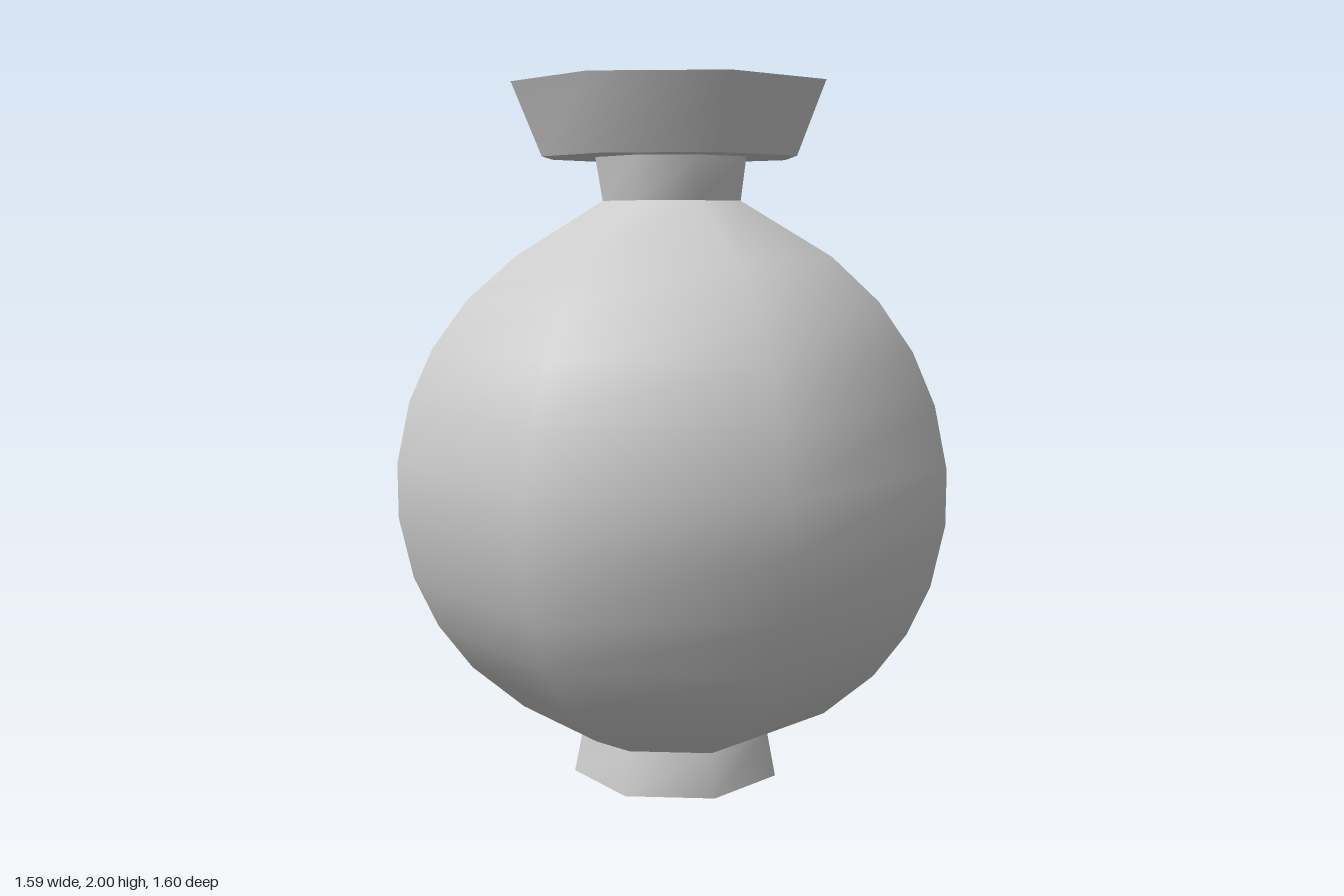
import * as THREE from 'three';

// Irregular eight-sided outline (x, z) at the widest point of the body
const outline = [
  [-0.10, -0.80], [0.52, -0.605], [0.79, -0.01], [0.53, 0.59],
  [-0.085, 0.795], [-0.655, 0.475], [-0.795, -0.16], [-0.56, -0.59],
];
const N = outline.length;
const WIDEST = 0.795;

// Ring of outline corners for a section given as [radius, y, xOffset, zOffset]
const ring = ([r, y, ox = 0, oz = 0]) =>
  outline.map(([x, z]) => [x * r / WIDEST + ox, y, z * r / WIDEST + oz]);

function meshFrom(name, points, index, material) {
  const geometry = new THREE.BufferGeometry();
  geometry.setAttribute('position', new THREE.Float32BufferAttribute(points.flat(), 3));
  geometry.setIndex(index);
  geometry.computeVertexNormals();
  const mesh = new THREE.Mesh(geometry, material);
  mesh.name = name;
  return mesh;
}

// Smooth wall through a stack of sections, bottom to top
function wall(name, sections, material) {
  const index = [];
  for (let s = 0; s < sections.length - 1; s++) {
    for (let i = 0; i < N; i++) {
      const a0 = s * N + i, a1 = s * N + (i + 1) % N;
      index.push(a1, a0, a0 + N, a1, a0 + N, a1 + N);
    }
  }
  return meshFrom(name, sections.flatMap(ring), index, material);
}

// Flat face closing a section
function cap(name, section, facesUp, material) {
  const index = [];
  for (let i = 1; i < N - 1; i++) index.push(0, ...(facesUp ? [i + 1, i] : [i, i + 1]));
  return meshFrom(name, ring(section), index, material);
}

export function createModel() {
  const group = new THREE.Group();
  group.name = 'faceted jar';
  const material = new THREE.MeshStandardMaterial({ color: 0xcccccc });

  // Foot
  const footBottom = [0.31, 0], footTop = [0.285, 0.125];
  group.add(wall('foot', [footBottom, footTop], material));
  group.add(cap('footUnderside', footBottom, false, material));

  // Round body: sections of a sphere, drawn in to the neck at the top
  const neckBottom = [0.204, 1.675, -0.011, -0.005];
  const body = [footTop];
  for (const y of [0.21, 0.34, 0.47, 0.615, 0.79, 0.945, 1.12, 1.265, 1.40, 1.52]) {
    body.push([Math.sqrt(0.8 ** 2 - (y - 0.867) ** 2), y]);
  }
  body.push(neckBottom);
  group.add(wall('body', body, material));

  // Neck
  group.add(wall('neck', [neckBottom, [0.222, 1.797, -0.013, -0.005]], material));

  // Flared stopper
  const lidBottom = [0.371, 1.797, -0.013, -0.005], lidTop = [0.453, 2, -0.013, -0.006];
  group.add(wall('stopper', [lidBottom, lidTop], material));
  group.add(cap('stopperUnderside', lidBottom, false, material));
  group.add(cap('stopperTop', lidTop, true, material));

  return group;
}
